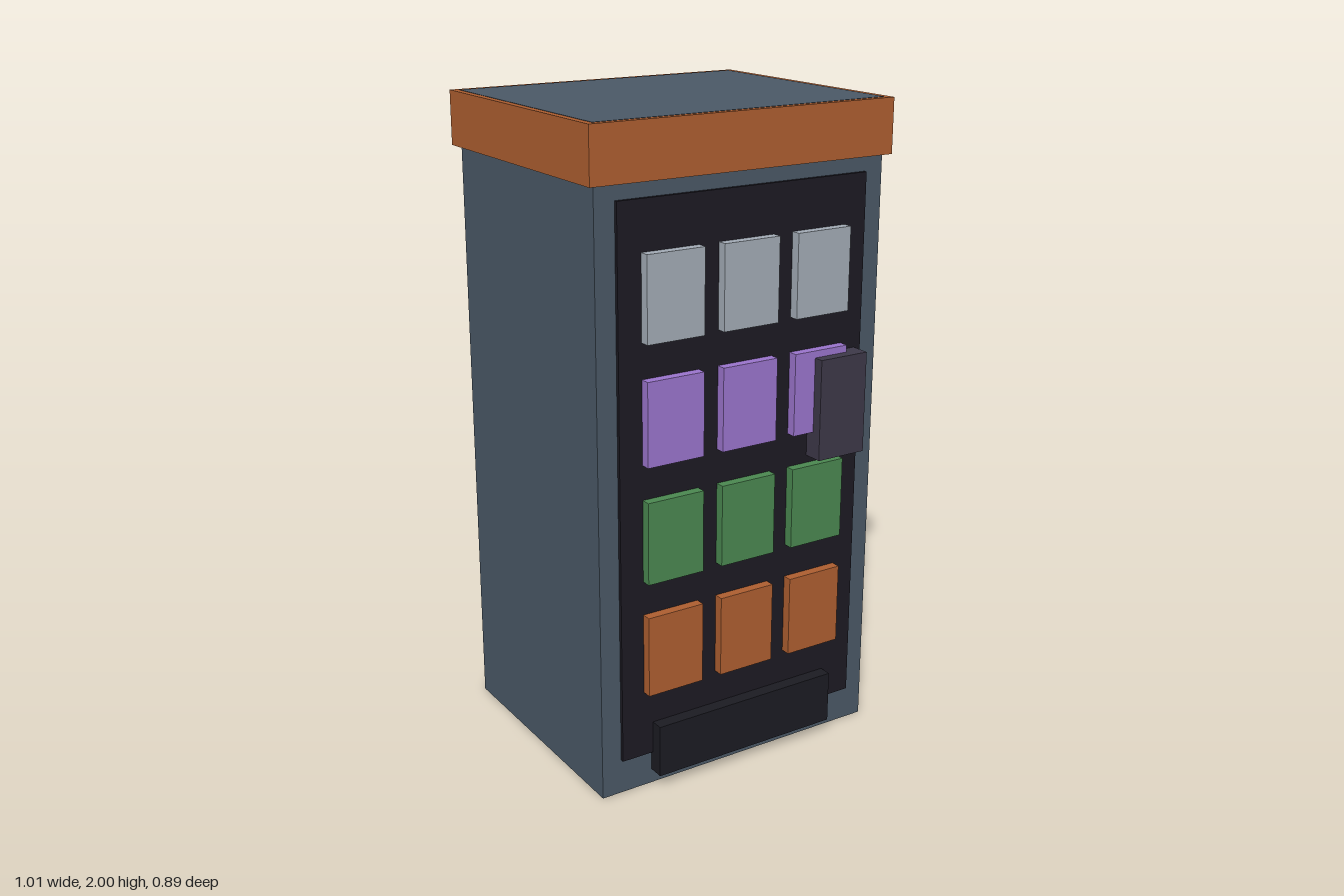
import * as THREE from 'three';

const paint = (color) => new THREE.MeshStandardMaterial({ color });

// Box given by its [min, max] extent on each axis
function box(name, [x0, x1], [y0, y1], [z0, z1], material) {
  const mesh = new THREE.Mesh(new THREE.BoxGeometry(x1 - x0, y1 - y0, z1 - z0), material);
  mesh.position.set((x0 + x1) / 2, (y0 + y1) / 2, (z0 + z1) / 2);
  mesh.name = name;
  return mesh;
}

export function createModel() {
  const machine = new THREE.Group();
  machine.name = 'vendingMachine';

  const slate = paint(0x4a5866);
  const orange = paint(0xad5e30);
  const black = paint(0x1c1a22);

  // Cabinet and the header band around its top (the cabinet top shows inside the band)
  machine.add(box('cabinet', [-0.484, 0.484], [0, 2], [-0.425, 0.374], slate));
  machine.add(box('header', [-0.505, 0.505], [1.835, 1.999], [-0.447, 0.393], orange));

  // Dark display window on the front
  machine.add(box('displayWindow', [-0.42, 0.42], [0.11, 1.79], [0.36, 0.385], black));

  // Four rows of three products, bottom to top
  const products = new THREE.Group();
  products.name = 'products';
  const rowMaterials = [orange, paint(0x4a8750), paint(0x9a74cc), paint(0xa2abb5)];
  rowMaterials.forEach((material, row) => {
    const y = 0.446 + row * 0.3573;
    for (let column = -1; column <= 1; column++) {
      const x = column * 0.252;
      products.add(box('product', [x - 0.0935, x + 0.0935], [y - 0.126, y + 0.126], [0.375, 0.415], material));
    }
  });
  machine.add(products);

  // Payment unit and delivery tray
  machine.add(box('paymentUnit', [0.23, 0.397], [0.953, 1.265], [0.373, 0.447], paint(0x3d3848)));
  machine.add(box('deliveryTray', [-0.315, 0.315], [0.047, 0.212], [0.365, 0.425], paint(0x1b1b22)));

  return machine;
}
